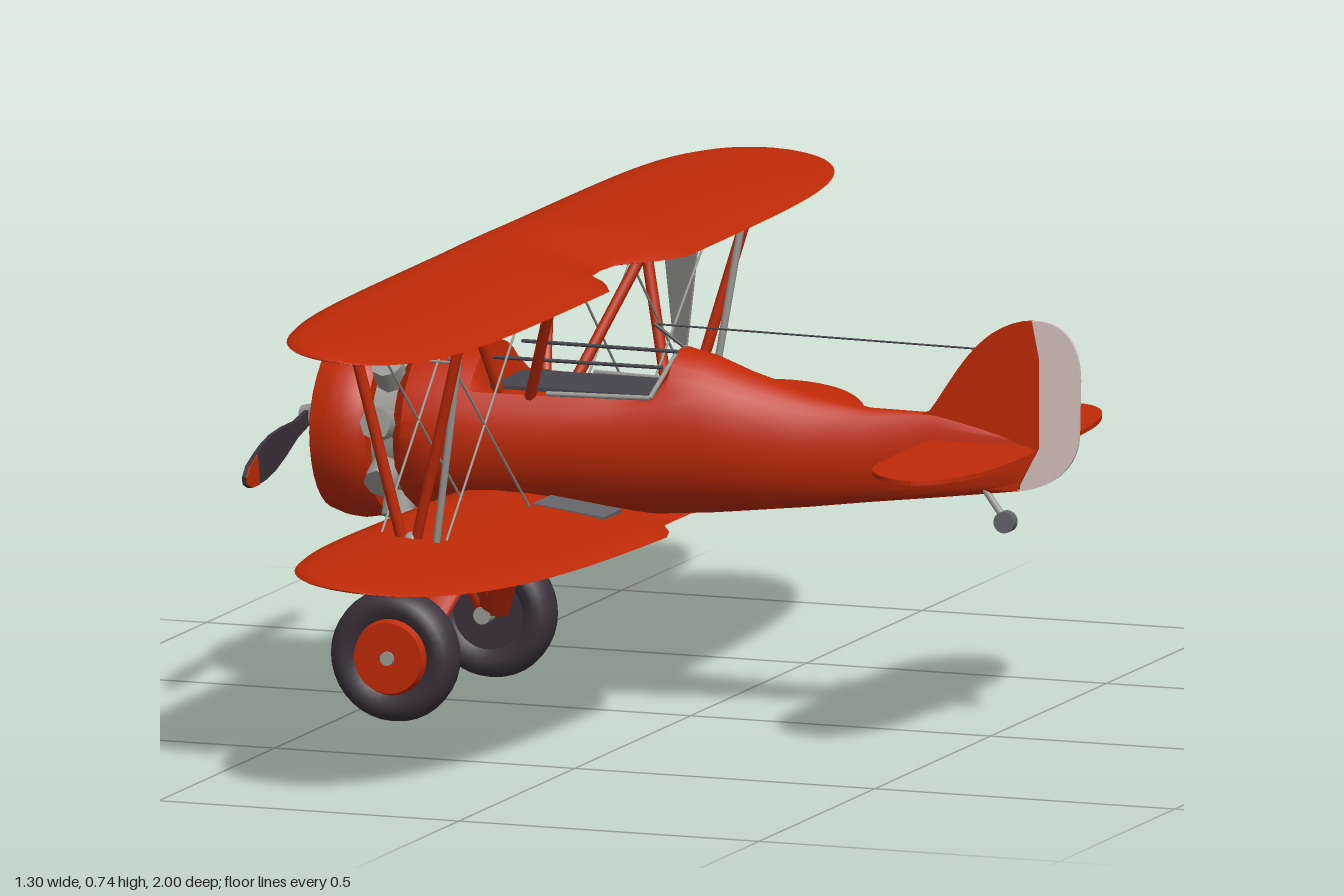
import * as THREE from 'three';
import { toCreasedNormals } from 'three/addons/utils/BufferGeometryUtils.js';

const mat = (name, color) => new THREE.MeshStandardMaterial({ name, color, side: THREE.DoubleSide });
const V = (x, y, z) => new THREE.Vector3(x, y, z);

export function createModel() {
  const model = new THREE.Group();
  const red = mat('red paint', 0xbf2a07);
  const grey = mat('engine grey', 0x999994);
  const pale = mat('pale rudder', 0xd8c5c0);
  const rubber = mat('dark rubber', 0x3a323a);
  const dark = mat('dark interior', 0x46454c);
  const smoke = mat('smoked glass', 0x64656a);

  const add = (name, geo, material, parent = model) => {
    const m = new THREE.Mesh(geo, material);
    m.name = name;
    parent.add(m);
    return m;
  };

  // skin over a row of closed rings, capped at both ends
  const loft = (rings, crease = 0.75) => {
    const n = rings[0].length, pos = [], idx = [];
    rings.forEach(r => r.forEach(p => pos.push(p.x, p.y, p.z)));
    for (let i = 0; i < rings.length - 1; i++) for (let j = 0; j < n; j++) {
      const a = i * n + j, b = i * n + (j + 1) % n;
      idx.push(a, b, a + n, b, b + n, a + n);
    }
    [0, rings.length - 1].forEach((i, end) => {
      const c = rings[i].reduce((s, p) => s.add(p), V(0, 0, 0)).divideScalar(n);
      const ci = pos.length / 3;
      pos.push(c.x, c.y, c.z);
      for (let j = 0; j < n; j++) {
        const a = i * n + j, b = i * n + (j + 1) % n;
        end ? idx.push(ci, a, b) : idx.push(ci, b, a);
      }
    });
    const g = new THREE.BufferGeometry();
    g.setAttribute('position', new THREE.Float32BufferAttribute(pos, 3));
    g.setIndex(idx);
    return toCreasedNormals(g, crease);
  };
  const ring = (n, f) => Array.from({ length: n }, (_, j) => f(j / n * Math.PI * 2));

  // round bar between two points
  const bar = (name, a, b, r, material) => {
    const m = add(name, new THREE.CylinderGeometry(r, r, a.distanceTo(b), 8), material);
    m.position.copy(a).add(b).multiplyScalar(0.5);
    m.quaternion.setFromUnitVectors(V(0, 1, 0), b.clone().sub(a).normalize());
    return m;
  };

  // turned part along x, profile as [radius, x]
  const turned = (name, pts, material, y) => {
    const g = new THREE.LatheGeometry(pts.map(p => new THREE.Vector2(...p)), 36);
    const m = add(name, toCreasedNormals(g.rotateZ(-Math.PI / 2), 0.7), material);
    m.position.y = y;
    return m;
  };

  const plate = (shape, depth) => new THREE.ExtrudeGeometry(shape, { depth, bevelEnabled: false, curveSegments: 14 })
    .translate(0, 0, -depth / 2);
  const outline = pts => new THREE.Shape(pts.map(p => new THREE.Vector2(...p)));
  const symmetric = pts => outline([...pts, ...pts.slice().reverse().map(([u, v]) => [u, -v])]);

  // fuselage: x, top, bottom, half width, cut height for the open cockpit
  const stations = [
    [-0.45, 0.55, 0.31, 0.12], [-0.43, 0.572, 0.295, 0.14], [-0.38, 0.576, 0.295, 0.142],
    [-0.325, 0.572, 0.3, 0.138], [-0.312, 0.57, 0.301, 0.137, 0.51], [-0.2, 0.566, 0.31, 0.125, 0.51],
    [-0.1, 0.572, 0.315, 0.108, 0.51], [-0.035, 0.579, 0.318, 0.097, 0.51], [-0.012, 0.583, 0.32, 0.092],
    [0.04, 0.572, 0.324, 0.085], [0.1, 0.55, 0.331, 0.075], [0.2, 0.522, 0.343, 0.055],
    [0.3, 0.506, 0.357, 0.034], [0.41, 0.505, 0.371, 0.018], [0.55, 0.48, 0.39, 0.008]];
  add('fuselage', loft(stations.map(([x, t, b, w, cut = 9]) => ring(32, a =>
    V(x, Math.min(cut, (t + b) / 2 + Math.cos(a) * (t - b) / 2), Math.sin(a) * w)))), red);

  // cockpit with a grey rim and a three-pane windshield
  add('cockpitFloor', new THREE.BoxGeometry(0.26, 0.006, 0.15), dark).position.set(-0.175, 0.513, 0);
  const shield = add('windshield', new THREE.BoxGeometry(0.006, 0.065, 0.085), smoke);
  shield.position.set(-0.362, 0.602, 0);
  shield.rotation.z = -0.45;
  for (const s of [1, -1]) {
    const pane = add('windshieldSide', plate(outline([[0, 0], [0.03, -0.005], [0.042, 0.045], [0.028, 0.058]]), 0.004), smoke);
    pane.position.set(-0.376, 0.573, s * 0.042);
    pane.rotation.y = -s * 0.55;
    bar('cockpitRail', V(-0.31, 0.56, s * 0.075), V(-0.02, 0.56, s * 0.07), 0.003, dark);
    bar('cockpitRim', V(-0.2, 0.513, s * 0.103), V(-0.036, 0.513, s * 0.083), 0.004, grey);
    bar('cockpitRim', V(-0.036, 0.513, s * 0.083), V(-0.012, 0.575, s * 0.032), 0.004, grey);
  }

  // cowling, engine and spinner
  turned('cowling', [[0.112, -0.5], [0.112, -0.575], [0.123, -0.588], [0.137, -0.582], [0.146, -0.555],
    [0.148, -0.53], [0.143, -0.5], [0.135, -0.49], [0.112, -0.49]], red, 0.43);
  turned('crankcase', [[0, -0.555], [0.05, -0.55], [0.06, -0.53], [0.11, -0.525], [0.11, -0.44], [0, -0.44]], grey, 0.43);
  turned('spinner', [[0, -0.652], [0.014, -0.648], [0.018, -0.63], [0.034, -0.605], [0.036, -0.585], [0.025, -0.55], [0, -0.55]], grey, 0.435);
  for (let i = 0; i < 9; i++) {
    const a = i / 9 * Math.PI * 2, c = Math.cos(a), s = Math.sin(a);
    bar('engineCylinder', V(-0.47, 0.43 + c * 0.08, s * 0.08), V(-0.47, 0.43 + c * 0.146, s * 0.146), 0.026, grey);
    bar('cylinderFront', V(-0.54, 0.43 + c * 0.05, s * 0.05), V(-0.54, 0.43 + c * 0.11, s * 0.11), 0.024, grey);
  }
  for (const s of [1, -1]) bar('exhaust', V(-0.465, 0.3, s * 0.05), V(-0.415, 0.283, s * 0.05), 0.014, grey);

  // propeller blades, with the tips painted on the rear face only
  const tipPoints = [[0.285, 0.025], [0.325, 0.018], [0.345, 0.006]];
  for (const [angle, scale] of [[Math.PI + 0.04, 1], [0.2, 0.84]]) {
    const blade = new THREE.Group();
    blade.name = 'propellerBlade';
    blade.position.set(-0.634, 0.435, 0);
    blade.rotation.x = angle;
    blade.scale.z = scale;
    model.add(blade);
    const full = symmetric([[0.01, 0.012], [0.08, 0.014], [0.14, 0.024], [0.2, 0.03], [0.25, 0.029], ...tipPoints]);
    add('blade', plate(full, 0.007).rotateY(-Math.PI / 2), rubber, blade);
    add('bladeTip', plate(symmetric(tipPoints), 0.002).rotateY(-Math.PI / 2), red, blade).position.x = 0.0045;
  }

  // wings: airfoil sections along the span with rounded tips
  const wing = (name, { mid, front, rear, span, baseY, notch, power }) => {
    const rings = [];
    for (let i = 0; i <= 56; i++) {
      const u = Math.sin((i / 28 - 1) * Math.PI / 2) * 0.9995, au = Math.abs(u), z = u * span;
      const le = mid - front * Math.sqrt(1 - au ** 8);
      const te = mid + rear * Math.sqrt(1 - au ** power) - notch * Math.exp(-((z / 0.11) ** 4));
      const thick = Math.sqrt(1 - au ** 4);
      rings.push(ring(20, a => {
        const k = (1 + Math.cos(a)) / 2, s = Math.sin(a);
        return V(le + (te - le) * k,
          baseY(au) - 0.03 * (k - 0.4) * thick + s * (s > 0 ? 0.031 : 0.014) * (1 - 0.55 * k) * thick, z);
      }));
    }
    add(name, loft(rings, 1.1), red);
  };
  wing('upperWing', { mid: -0.205, front: 0.16, rear: 0.135, span: 1, baseY: () => 0.711, notch: 0.08, power: 7 });
  wing('lowerWing', { mid: -0.17, front: 0.19, rear: 0.195, span: 0.995, baseY: u => 0.325 + 0.023 * u, notch: 0.05, power: 4 });

  // struts and bracing on both sides
  for (const s of [1, -1]) {
    bar('frontWingStrut', V(-0.33, 0.705, s * 0.625), V(-0.255, 0.35, s * 0.58), 0.009, red);
    bar('rearWingStrut', V(-0.14, 0.7, s * 0.625), V(-0.235, 0.35, s * 0.58), 0.009, red);
    bar('thinWingStrut', V(-0.145, 0.7, s * 0.612), V(-0.2, 0.34, s * 0.585), 0.006, grey);
    add('strutFitting', new THREE.SphereGeometry(0.014, 12, 8), grey).position.set(-0.24, 0.358, s * 0.58);
    bar('frontCabaneStrut', V(-0.31, 0.71, s * 0.2), V(-0.28, 0.51, s * 0.1), 0.009, red);
    bar('rearCabaneStrut', V(-0.15, 0.7, s * 0.2), V(-0.23, 0.5, s * 0.1), 0.009, red);
    for (const x of [-0.3, -0.19]) {
      bar('bracingWire', V(x, 0.7, s * 0.62), V(x, 0.34, s * 0.19), 0.002, grey);
      bar('bracingWire', V(x, 0.34, s * 0.58), V(x, 0.7, s * 0.2), 0.002, grey);
    }
    bar('strutCrossWire', V(-0.31, 0.65, s * 0.615), V(-0.16, 0.65, s * 0.615), 0.002, grey);
    // step panel on the wing root
    const step = add('wingStep', new THREE.BoxGeometry(0.12, 0.006, 0.08), smoke);
    step.position.set(-0.135, 0.343, s * 0.14);
    step.rotation.z = -0.12;
  }
  // fairing set askew between the right wing struts
  const fairing = plate(outline([[-0.06, 0.7], [0.06, 0.7], [0.018, 0.47], [-0.018, 0.47]]), 0.003);
  const panel = add('strutFairing', fairing, grey);
  panel.position.set(-0.252, 0, -0.61);
  panel.rotation.y = -0.6;

  // landing gear
  for (const s of [1, -1]) {
    const leg = [[-0.33, 0.33, 0.05, 0.06], [-0.365, 0.2, 0.125, 0.036], [-0.395, 0.105, 0.175, 0.024]];
    add('landingLeg', loft(leg.map(([x, y, z, r]) => ring(14, a =>
      V(x + Math.cos(a) * r, y, s * z + Math.sin(a) * 0.012)))), red);
    bar('frontLegStrut', V(-0.455, 0.29, s * 0.04), V(-0.42, 0.115, s * 0.175), 0.007, red);
    bar('legCrossRod', V(-0.4, 0.12, s * 0.17), V(-0.38, 0.3, -s * 0.03), 0.004, red);
    const wheel = new THREE.Group();
    wheel.name = 'wheel';
    wheel.position.set(-0.41, 0.105, s * 0.21);
    model.add(wheel);
    const tyre = [[0.058, -0.022], [0.075, -0.033], [0.092, -0.03], [0.102, -0.016], [0.105, 0],
      [0.102, 0.016], [0.092, 0.03], [0.075, 0.033], [0.058, 0.022]];
    add('tyre', new THREE.LatheGeometry(tyre.map(p => new THREE.Vector2(...p)), 36).rotateX(Math.PI / 2), rubber, wheel);
    // disc whose outer face may be narrower, giving a shallow cone
    const disc = (name, rOut, rIn, depth, m, z) =>
      add(name, new THREE.CylinderGeometry(rOut, rIn, depth, 30).rotateX(s * Math.PI / 2), m, wheel).position.set(0, 0, s * z);
    disc('innerDisc', 0.06, 0.06, 0.02, rubber, -0.012);
    disc('hubDisc', 0.056, 0.063, 0.02, red, 0.026);
    disc('hubCap', 0.011, 0.011, 0.008, grey, 0.037);
    disc('axle', 0.014, 0.014, 0.04, grey, -0.03);
  }

  // fin and rudder
  const fin = new THREE.Shape();
  fin.moveTo(0.33, 0.48);
  fin.lineTo(0.4, 0.508);
  fin.bezierCurveTo(0.44, 0.56, 0.48, 0.655, 0.57, 0.66);
  fin.lineTo(0.582, 0.6);
  fin.lineTo(0.582, 0.46);
  fin.lineTo(0.545, 0.39);
  fin.lineTo(0.45, 0.39);
  add('fin', plate(fin, 0.012), red);
  const rudder = new THREE.Shape();
  rudder.moveTo(0.57, 0.66);
  rudder.bezierCurveTo(0.63, 0.665, 0.65, 0.62, 0.65, 0.57);
  rudder.lineTo(0.648, 0.48);
  rudder.bezierCurveTo(0.645, 0.43, 0.6, 0.395, 0.545, 0.39);
  rudder.lineTo(0.582, 0.46);
  rudder.lineTo(0.582, 0.6);
  add('rudder', plate(rudder, 0.006), pale);

  // tailplane halves
  for (const s of [1, -1]) {
    const t = new THREE.Shape();
    t.moveTo(0.41, 0);
    t.lineTo(0.4, s * 0.1);
    t.lineTo(0.405, s * 0.24);
    t.bezierCurveTo(0.41, s * 0.32, 0.46, s * 0.37, 0.51, s * 0.37);
    t.bezierCurveTo(0.56, s * 0.36, 0.585, s * 0.27, 0.592, s * 0.2);
    t.lineTo(0.6, s * 0.07);
    t.quadraticCurveTo(0.59, s * 0.03, 0.54, 0);
    add('tailplane', plate(t, 0.007).rotateX(Math.PI / 2).translate(0, 0.461, 0), red);
  }

  // tail wheel and aerial
  bar('tailStrut', V(0.49, 0.39, 0), V(0.525, 0.342, 0), 0.006, grey);
  add('tailWheel', new THREE.CylinderGeometry(0.017, 0.017, 0.018, 18).rotateX(Math.PI / 2), smoke).position.set(0.525, 0.34, 0);
  bar('aerialPost', V(0, 0.575, 0), V(-0.06, 0.615, 0), 0.003, dark);
  bar('aerialWire', V(-0.06, 0.615, 0), V(0.49, 0.61, 0), 0.0015, dark);

  return model;
}
